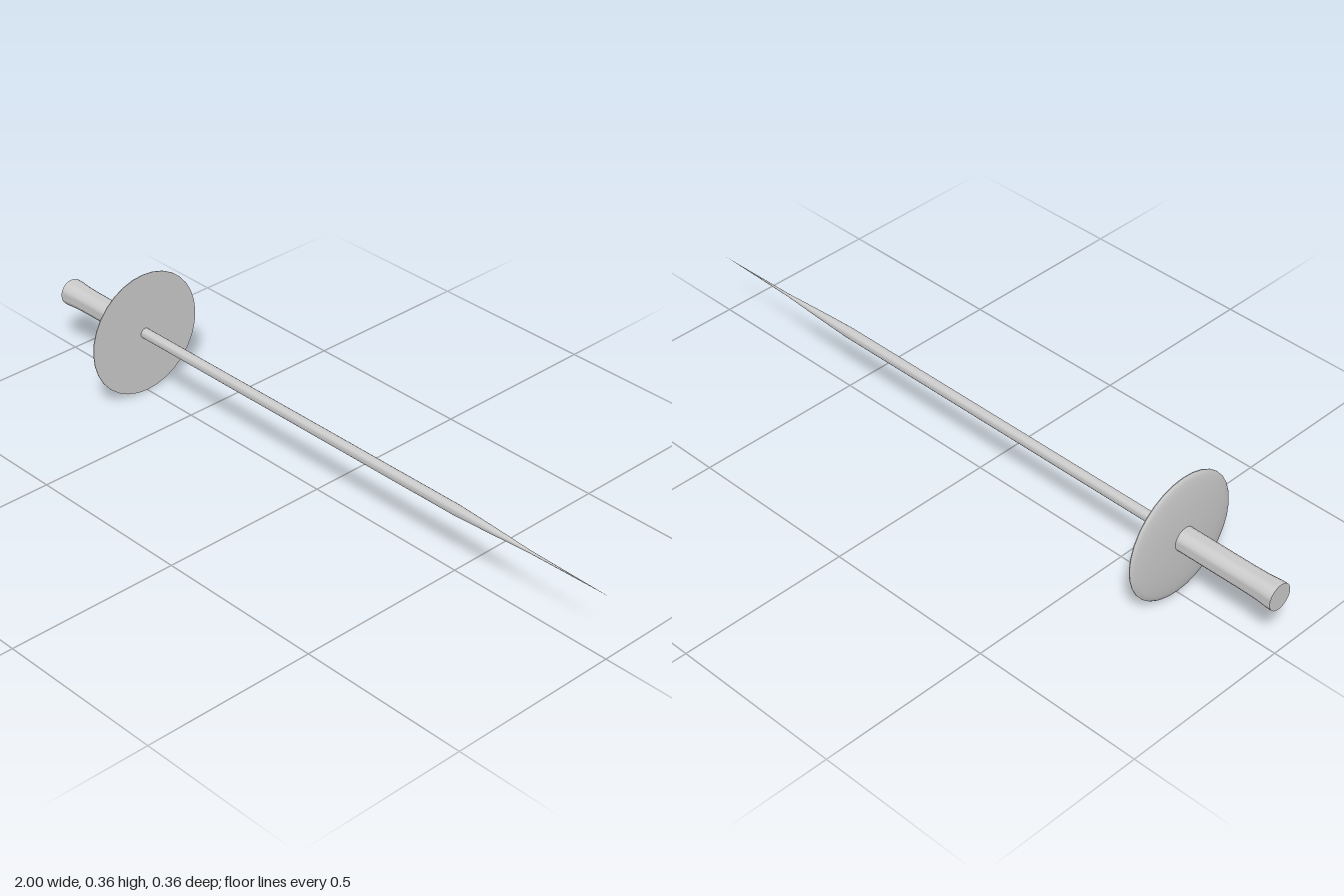
import * as THREE from 'three';
import { toCreasedNormals } from 'three/addons/utils/BufferGeometryUtils.js';

const AXIS_Y = 0.181;

// Turns a profile of [x, radius] pairs, listed from pommel to tip, about the sword's long axis.
function turned(name, profile, sides, material) {
  const points = profile.map(([x, r]) => new THREE.Vector2(r, x));
  const geometry = new THREE.LatheGeometry(points, sides).rotateZ(-Math.PI / 2);
  const mesh = new THREE.Mesh(toCreasedNormals(geometry, 0.6), material);
  mesh.name = name;
  mesh.position.y = AXIS_Y;
  return mesh;
}

export function createModel() {
  const group = new THREE.Group();
  group.name = 'fencingSword';
  const material = new THREE.MeshStandardMaterial({ color: 0xcccccc });

  // Grip, flaring slightly at the butt
  const grip = [[-1, 0], [-1, 0.038], [-0.985, 0.038], [-0.95, 0.035], [-0.9, 0.034], [-0.695, 0.034], [-0.695, 0]];

  // Round guard: shallow dome towards the hand, flat towards the blade
  const guard = [];
  for (let i = 0; i <= 8; i++) {
    const a = (i / 8) * Math.PI / 2;
    guard.push([-0.685 - 0.016 * Math.cos(a), 0.181 * Math.sin(a)]);
  }
  guard.push([-0.683, 0.181], [-0.683, 0]);

  // Slim blade, tapering to a needle point
  const blade = [[-0.69, 0], [-0.69, 0.015], [0.5, 0.015], [0.62, 0.01], [0.74, 0.004], [0.88, 0.0018], [1, 0]];

  group.add(
    turned('grip', grip, 24, material),
    turned('guard', guard, 32, material),
    turned('blade', blade, 16, material),
  );
  return group;
}
